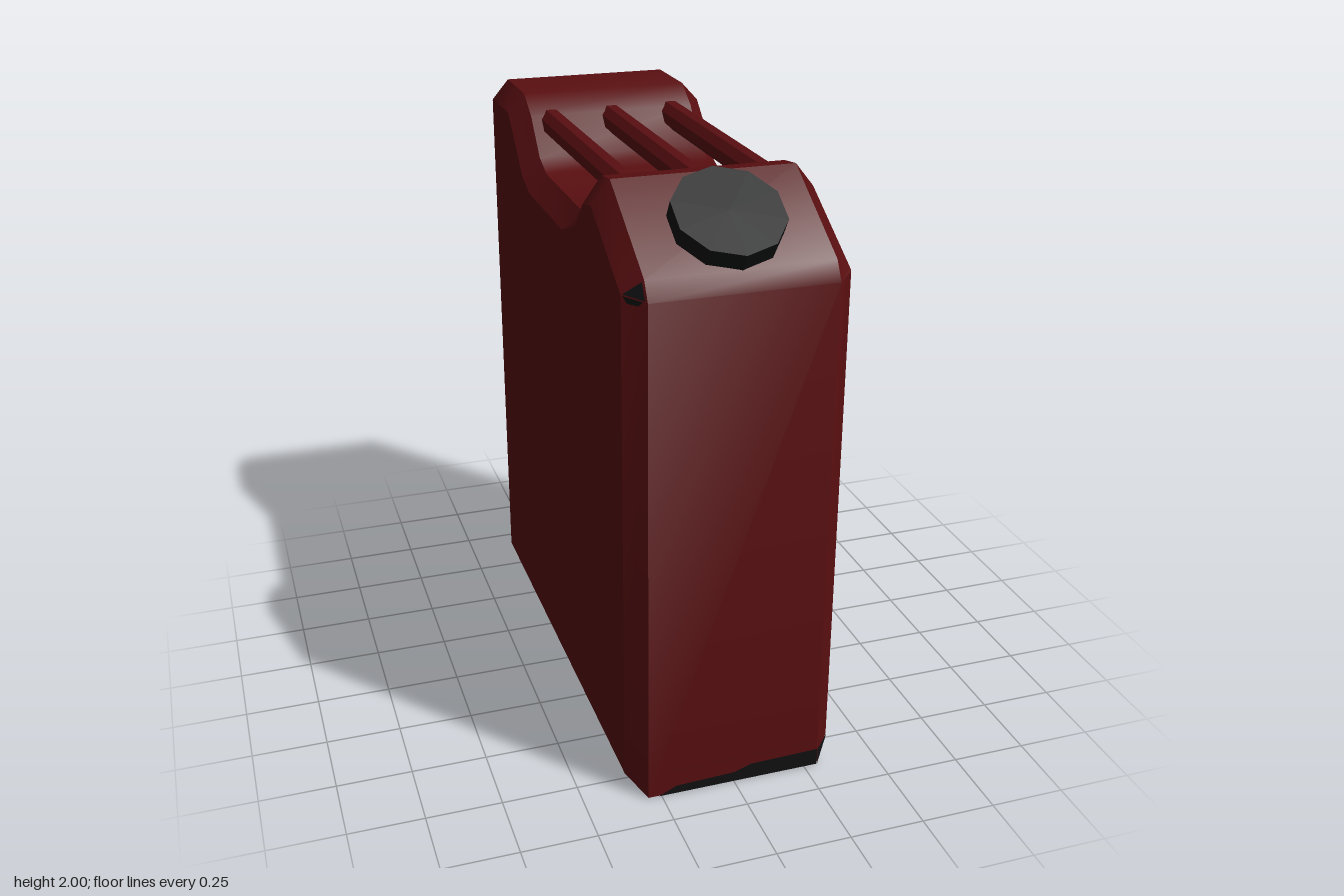
import * as THREE from 'three';
import { toCreasedNormals } from 'three/addons/utils/BufferGeometryUtils.js';

// Side profiles as [z, y]: the rim of the shell and the inset edge of its flat sides
const RIM = [
  [0.875, 0], [0.875, 1.7], [0.84, 1.76], [0.51, 1.963], [0.42, 1.95], [0.297, 1.835], [0.17, 1.777],
  [-0.26, 1.78], [-0.35, 1.814], [-0.46, 1.936], [-0.557, 1.995], [-0.81, 1.995], [-0.875, 1.936], [-0.875, 0],
];
const INSET = [
  [0.81, 0.064], [0.81, 1.71], [0.8, 1.717], [0.51, 1.888], [0.42, 1.867], [0.33, 1.775], [0.165, 1.713],
  [-0.265, 1.713], [-0.37, 1.75], [-0.49, 1.87], [-0.56, 1.93], [-0.8, 1.93], [-0.81, 1.92], [-0.81, 0.064],
];

// Shell lofted across x through four sections, closed by the flat sides
function bodyGeometry() {
  const sections = [[-0.355, INSET], [-0.295, RIM], [0.295, RIM], [0.355, INSET]];
  const n = RIM.length;
  const positions = [];
  const index = [];
  for (const [x, profile] of sections) {
    for (const [z, y] of profile) positions.push(x, y, z);
  }
  for (let i = 0; i < 3; i++) {
    for (let j = 0; j < n; j++) {
      const k = (j + 1) % n;
      const a = i * n + j, b = a + n, d = i * n + k, c = d + n;
      index.push(a, b, c, a, c, d);
    }
  }
  const contour = INSET.map(([z, y]) => new THREE.Vector2(z, y));
  for (const [a, b, c] of THREE.ShapeUtils.triangulateShape(contour, [])) {
    index.push(a, b, c, 3 * n + a, 3 * n + c, 3 * n + b);
  }
  const geometry = new THREE.BufferGeometry();
  geometry.setAttribute('position', new THREE.Float32BufferAttribute(positions, 3));
  geometry.setIndex(index);
  return toCreasedNormals(geometry, 0.6);
}

// Flat painted polygon, lifted slightly off the shell
function patchGeometry(points) {
  const p = points.map((q) => new THREE.Vector3(...q));
  const normal = p[1].clone().sub(p[0]).cross(p[2].clone().sub(p[0])).normalize();
  const outward = p[0].clone().sub(new THREE.Vector3(0, 1, 0));
  if (normal.dot(outward) < 0) {
    normal.negate();
    p.reverse();
  }
  p.forEach((v) => v.addScaledVector(normal, 0.003));
  const triangles = [];
  for (let i = 1; i < p.length - 1; i++) triangles.push(p[0], p[i], p[i + 1]);
  const geometry = new THREE.BufferGeometry().setFromPoints(triangles);
  geometry.computeVertexNormals();
  return geometry;
}

export function createModel() {
  const model = new THREE.Group();
  model.name = 'fuelCan';

  const red = new THREE.MeshStandardMaterial({ color: 0x580e10 });
  red.name = 'darkRed';
  const black = new THREE.MeshStandardMaterial({ color: 0x101112 });
  black.name = 'black';

  function add(name, geometry, material) {
    const mesh = new THREE.Mesh(geometry, material);
    mesh.name = name;
    model.add(mesh);
    return mesh;
  }

  add('body', bodyGeometry(), red);

  // Three handle bars bridging the dip in the top
  const bar = new THREE.CylinderGeometry(0.046, 0.046, 0.96, 8);
  bar.rotateY(Math.PI / 8);
  bar.rotateX(Math.PI / 2);
  const barGeometry = toCreasedNormals(bar, 0.5);
  [['right', -0.217], ['middle', 0.004], ['left', 0.225]].forEach(([side, x]) => {
    add(side + 'HandleBar', barGeometry, red).position.set(x, 1.906, -0.035);
  });

  // Screw cap on the sloping shoulder
  const capGeometry = toCreasedNormals(new THREE.CylinderGeometry(0.175, 0.175, 0.09, 10), 0.5);
  const cap = add('cap', capGeometry, black);
  cap.position.set(0, 1.865, 0.703);
  cap.rotation.x = 0.558;

  // Worn black marks along the lower front edge and on some corners
  const marks = {
    frontEdgeMark: [[0.295, 0, 0.875], [0.295, 0.06, 0.875], [0.06, 0.055, 0.875],
      [0, 0.035, 0.875], [-0.2, 0.028, 0.875], [-0.26, 0, 0.875]],
    frontLeftCornerMark: [[0.295, 0, 0.875], [0.355, 0.064, 0.81], [0.295, 0.06, 0.875]],
    frontRightCornerMark: [[-0.295, 0, 0.82], [-0.295, 0, 0.875], [-0.355, 0.064, 0.81], [-0.35, 0.059, 0.77]],
    backRightCornerMark: [[-0.307, 0.03, -0.862], [-0.343, 0.06, -0.823], [-0.349, 0.09, -0.8165],
      [-0.325, 0.1, -0.8425], [-0.301, 0.08, -0.8685]],
    shoulderMark: [[-0.3, 1.705, 0.867], [-0.3, 1.753, 0.839], [-0.35, 1.713, 0.812]],
    shoulderLowerMark: [[-0.305, 1.703, 0.864], [-0.35, 1.71, 0.8155], [-0.34, 1.69, 0.826], [-0.315, 1.688, 0.853]],
  };
  for (const [name, points] of Object.entries(marks)) add(name, patchGeometry(points), black);

  return model;
}
